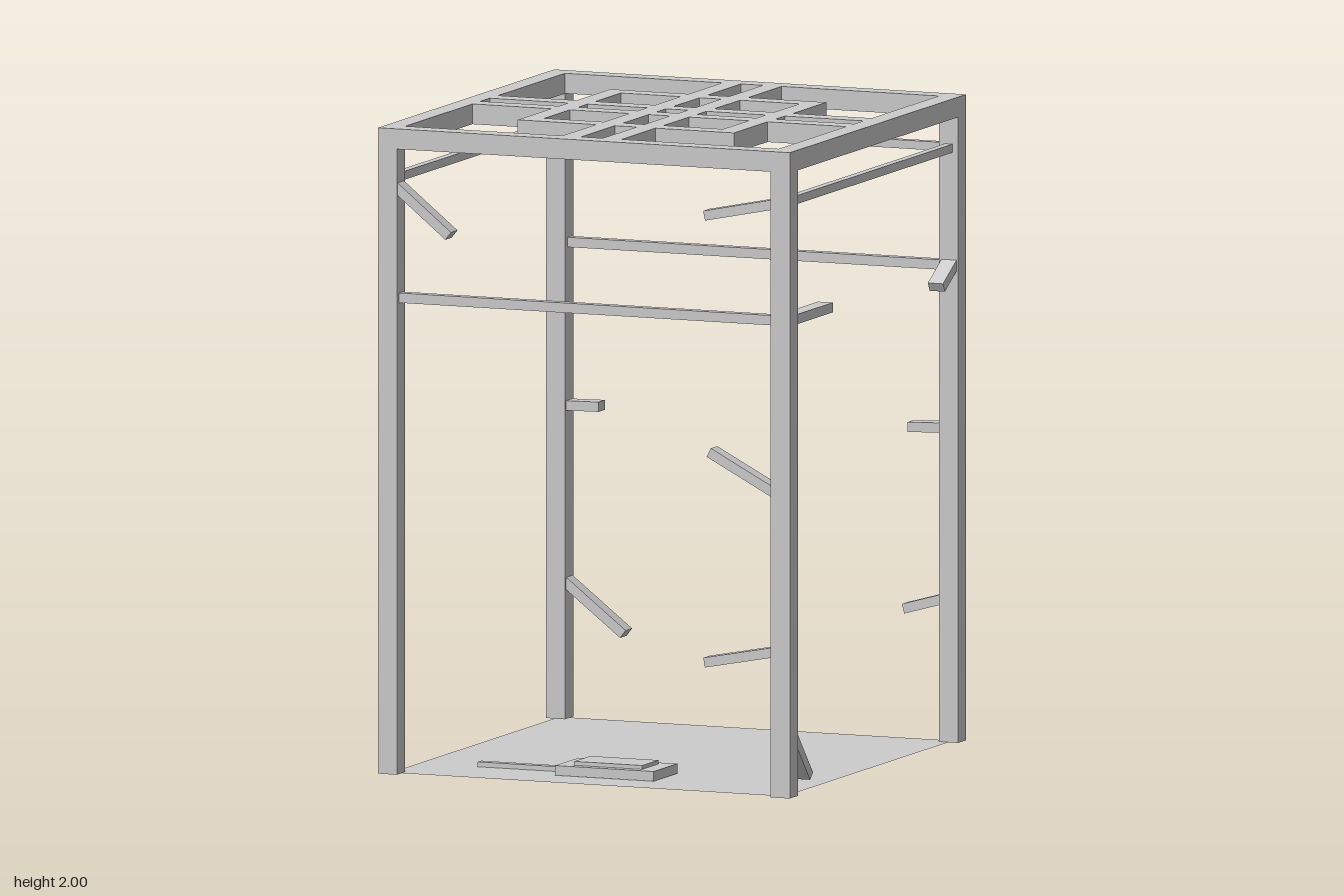
import * as THREE from 'three';

const material = new THREE.MeshStandardMaterial({ color: 0xcccccc, flatShading: true });

// Box given by its lower and upper limits on each axis
function box(group, name, [x0, x1], [y0, y1], [z0, z1]) {
  const mesh = new THREE.Mesh(new THREE.BoxGeometry(x1 - x0, y1 - y0, z1 - z0), material);
  mesh.position.set((x0 + x1) / 2, (y0 + y1) / 2, (z0 + z1) / 2);
  mesh.name = name;
  group.add(mesh);
}

// Rectangular bar running from one point to another
function bar(group, name, from, to, width, height) {
  const a = new THREE.Vector3(...from);
  const b = new THREE.Vector3(...to);
  const mesh = new THREE.Mesh(new THREE.BoxGeometry(width, height, a.distanceTo(b)), material);
  mesh.position.copy(a).lerp(b, 0.5);
  mesh.lookAt(b);
  mesh.name = name;
  group.add(mesh);
}

function path(points) {
  return new THREE.Path(points.map(([x, y]) => new THREE.Vector2(x, y)));
}

function rectangle([x0, x1], [y0, y1]) {
  return path([[x0, y0], [x1, y0], [x1, y1], [x0, y1]]);
}

// Square roof frame with crossing double bars and an inner ring
function createRoof() {
  const edge = 0.68, frame = 0.617, ringOut = 0.357, ringIn = 0.295, barOut = 0.098, barIn = 0.036;
  const shape = new THREE.Shape([[-edge, -edge], [edge, -edge], [edge, edge], [-edge, edge]]
    .map(([x, y]) => new THREE.Vector2(x, y)));
  const slot = [-barIn, barIn];
  shape.holes.push(rectangle(slot, slot));
  for (const s of [-1, 1]) {
    // Narrow slots between the paired bars
    for (const [near, far] of [[barOut, ringIn], [ringOut, frame]]) {
      const span = s > 0 ? [near, far] : [-far, -near];
      shape.holes.push(rectangle(slot, span), rectangle(span, slot));
    }
    // Square inner openings and L-shaped corner openings
    for (const t of [-1, 1]) {
      const mirrored = (points) => path(points.map(([x, y]) => [s * x, t * y]));
      shape.holes.push(
        mirrored([[barOut, barOut], [ringIn, barOut], [ringIn, ringIn], [barOut, ringIn]]),
        mirrored([[barOut, frame], [frame, frame], [frame, barOut],
          [ringOut, barOut], [ringOut, ringOut], [barOut, ringOut]]),
      );
    }
  }
  const geometry = new THREE.ExtrudeGeometry(shape, { depth: 0.062, bevelEnabled: false });
  geometry.rotateX(Math.PI / 2);
  const roof = new THREE.Mesh(geometry, material);
  roof.position.y = 2;
  roof.name = 'roofLattice';
  return roof;
}

export function createModel() {
  const model = new THREE.Group();
  model.name = 'pavilion';
  model.add(createRoof());

  // Corner posts
  const posts = new THREE.Group();
  posts.name = 'posts';
  for (const x of [-1, 1]) {
    for (const z of [-1, 1]) {
      const span = (s) => (s > 0 ? [0.617, 0.68] : [-0.68, -0.617]);
      box(posts, 'cornerPost', span(x), [0.02, 1.938], span(z));
    }
  }
  model.add(posts);

  // Thin rails under the roof on three sides, crossbars at front and back
  const c = 0.65, inner = 0.62;
  for (const s of [-1, 1]) {
    bar(model, 'sideRail', [s * c, 1.842, -inner], [s * c, 1.842, inner], 0.025, 0.026);
    bar(model, 'crossbar', [-inner, 1.48, s * c], [inner, 1.48, s * c], 0.03, 0.03);
  }
  bar(model, 'backRail', [-inner, 1.842, -c], [inner, 1.842, -c], 0.025, 0.026);

  // Short branches on the posts
  const branches = new THREE.Group();
  branches.name = 'branches';
  const ends = [
    [[-0.63, 1.825, c], [-0.45, 1.68, c]],
    [[0.63, 1.838, c], [0.395, 1.79, c]],
    [[0.63, 0.95, c], [0.41, 1.065, c]],
    [[0.63, 0.465, c], [0.395, 0.42, c]],
    [[-0.63, 0.98, -c], [-0.51, 0.982, -c]],
    [[-0.63, 0.445, -c], [-0.43, 0.29, -c]],
    [[0.63, 0.982, -c], [0.51, 0.978, -c]],
    [[0.63, 0.458, -c], [0.495, 0.42, -c]],
    [[c, 1.48, 0.63], [c, 1.48, 0.335]],
    [[c, 0.21, 0.63], [c, 0.065, 0.5]],
    [[c, 1.49, -0.63], [c, 1.428, -0.52]],
  ];
  for (const [from, to] of ends) bar(branches, 'branch', from, to, 0.05, 0.03);
  model.add(branches);

  // Thin floor
  const floor = new THREE.Mesh(new THREE.PlaneGeometry(1.3, 1.3),
    new THREE.MeshStandardMaterial({ color: 0xcccccc, side: THREE.DoubleSide }));
  floor.rotation.x = -Math.PI / 2;
  floor.position.y = 0.021;
  floor.name = 'floor';
  model.add(floor);

  // Stepped plate with a long handle lying on the floor
  const plate = new THREE.Group();
  plate.name = 'floorPlate';
  box(plate, 'plateBase', [-0.165, 0.16], [0.022, 0.052], [0.333, 0.515]);
  box(plate, 'plateTop', [-0.115, 0.11], [0.052, 0.064], [0.362, 0.487]);
  box(plate, 'plateHandle', [-0.457, 0.027], [0, 0.036], [0.404, 0.432]);
  model.add(plate);

  return model;
}
